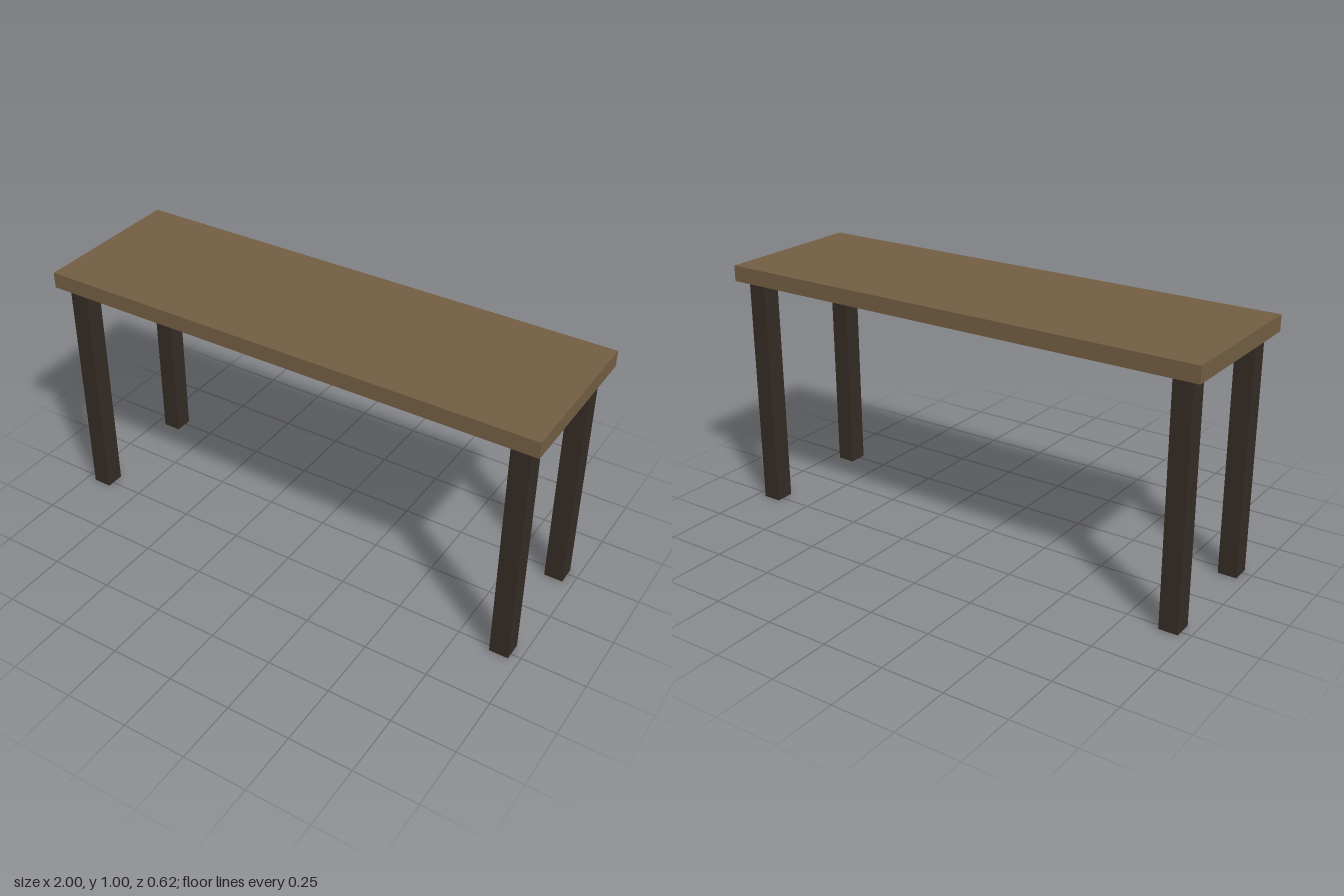
import * as THREE from 'three';

const HEIGHT = 1, TOP_THICKNESS = 0.0625, LEG_WIDTH = 0.075;

export function createModel() {
  const table = new THREE.Group();
  table.name = 'table';

  const topWood = new THREE.MeshStandardMaterial({ color: 0x735e43 });
  const legWood = new THREE.MeshStandardMaterial({ color: 0x352b24 });

  // Flat slab top
  const top = new THREE.Mesh(new THREE.BoxGeometry(2, TOP_THICKNESS, 0.625), topWood);
  top.name = 'tabletop';
  top.position.y = HEIGHT - TOP_THICKNESS / 2;
  table.add(top);

  // Four square legs, inset from the corners
  const legHeight = HEIGHT - TOP_THICKNESS;
  const legGeometry = new THREE.BoxGeometry(LEG_WIDTH, legHeight, LEG_WIDTH);
  for (const [xName, x] of [['Left', 1], ['Right', -1]]) {
    for (const [zName, z] of [['front', 1], ['back', -1]]) {
      const leg = new THREE.Mesh(legGeometry, legWood);
      leg.name = `${zName}${xName}Leg`;
      leg.position.set(x * 0.9225, legHeight / 2, z * 0.2375);
      table.add(leg);
    }
  }
  return table;
}
